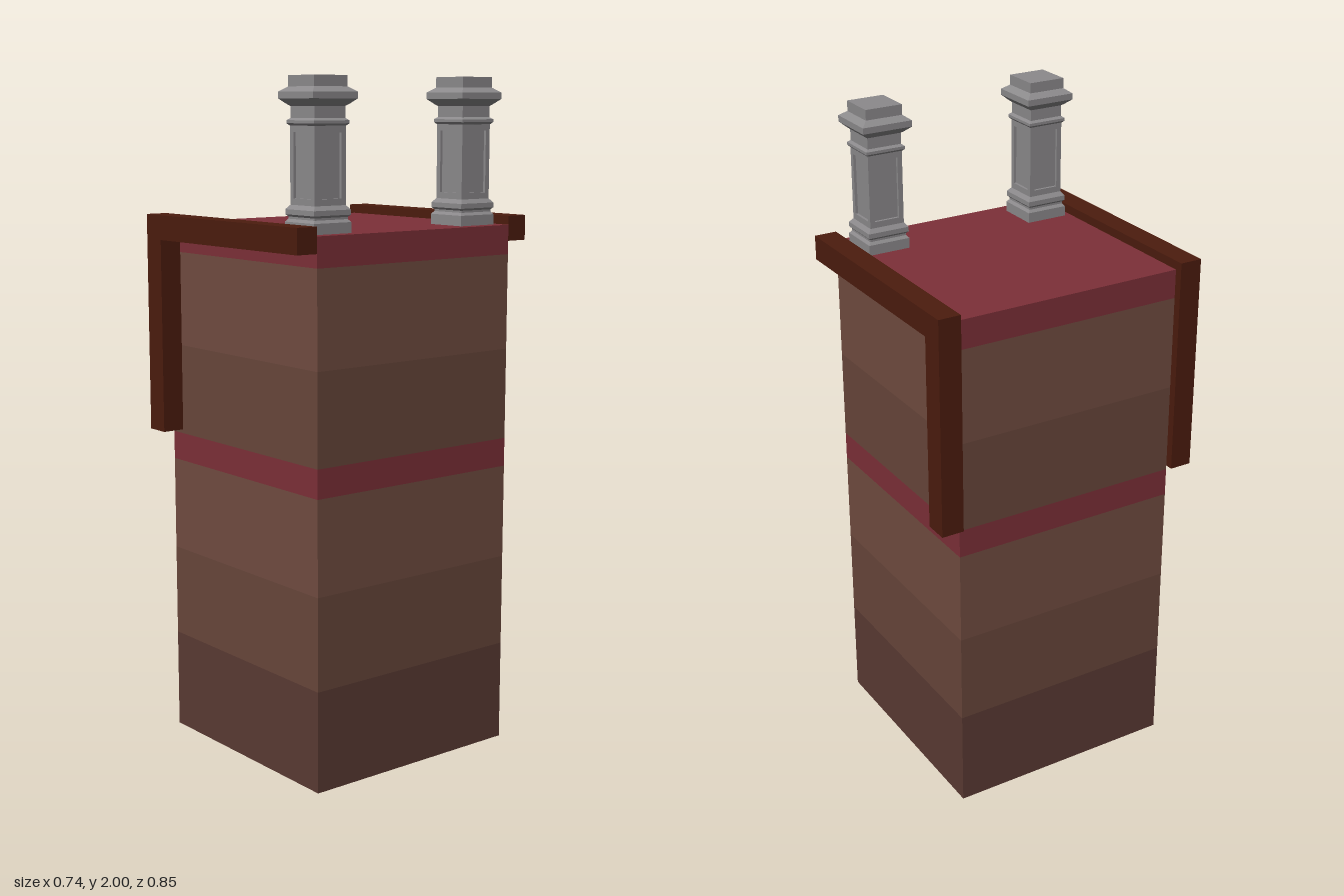
import * as THREE from 'three';

const mat = (color) => new THREE.MeshStandardMaterial({ color, flatShading: true });
const BODY = 0.711, CX = 0.0115, CZ = -0.0015;

function add(parent, name, geometry, material, x = 0, y = 0, z = 0) {
  const mesh = new THREE.Mesh(geometry, material);
  mesh.name = name;
  mesh.position.set(x, y, z);
  parent.add(mesh);
  return mesh;
}

// Square lathe: profile given as [half width, height], bottom to top
function squareLathe(profile) {
  const points = profile.map(([w, y]) => new THREE.Vector2(w * Math.SQRT2, y));
  return new THREE.LatheGeometry(points, 4, Math.PI / 4);
}

function rect(target, x0, y0, x1, y1) {
  target.moveTo(x0, y0);
  target.lineTo(x1, y0);
  target.lineTo(x1, y1);
  target.lineTo(x0, y1);
  target.closePath();
  return target;
}

function createChimney(stone) {
  const chimney = new THREE.Group();
  chimney.name = 'chimney';

  // Foot mouldings, shaft core, collar and flared cap
  add(chimney, 'chimneyStack', squareLathe([
    [0, 0], [0.065, 0], [0.065, 0.03], [0.058, 0.038], [0.058, 0.044],
    [0.064, 0.05], [0.064, 0.064], [0.054, 0.076], [0.046, 0.078], [0.046, 0.288],
    [0.055, 0.29], [0.061, 0.296], [0.061, 0.304], [0.053, 0.31], [0.053, 0.342],
    [0.06, 0.347], [0.077, 0.362], [0.077, 0.38], [0.06, 0.392],
    [0.057, 0.394], [0.057, 0.424], [0, 0.424],
  ]), stone);

  // Raised frame around a sunken panel on each face
  const shape = rect(new THREE.Shape(), -0.054, 0.074, 0.054, 0.292);
  shape.holes.push(rect(new THREE.Path(), -0.039, 0.094, 0.039, 0.272));
  const frame = new THREE.ExtrudeGeometry(shape, { depth: 0.008, bevelEnabled: false });
  frame.translate(0, 0, 0.046);
  for (let i = 0; i < 4; i++) {
    add(chimney, 'panelFrame', frame, stone).rotation.y = i * Math.PI / 2;
  }
  return chimney;
}

export function createModel() {
  const model = new THREE.Group();
  model.name = 'tower';
  const dark = mat(0x5a3a33), mid = mat(0x68463b), light = mat(0x714c40);
  const red = mat(0x7d3038), wood = mat(0x4c1c0e), stone = mat(0x8c8a8c);

  // Wall bands, from the ground up
  const bands = [
    ['lowerWall', 0, 0.3, dark], ['lowerWall', 0.3, 0.575, mid], ['lowerWall', 0.575, 0.855, light],
    ['redBand', 0.855, 0.94, red], ['upperWall', 0.94, 1.21, mid],
    ['upperWall', 1.21, 1.49, light], ['roofEdge', 1.49, 1.576, red],
  ];
  for (const [name, y0, y1, material] of bands) {
    add(model, name, squareLathe([[BODY / 2, y0], [BODY / 2, y1]]), material, CX, 0, CZ);
  }

  // Flat roof and underside
  const slab = new THREE.PlaneGeometry(BODY, BODY);
  add(model, 'roof', slab, red, CX, 1.576, CZ).rotation.x = -Math.PI / 2;
  add(model, 'underside', slab, dark, CX, 0, CZ).rotation.x = Math.PI / 2;

  // Timber beams with a hanging post, on front and back
  const outline = new THREE.Shape([
    [-0.368, 0.952], [-0.295, 0.952], [-0.295, 1.529], [0.367, 1.529], [0.367, 1.602], [-0.368, 1.602],
  ].map(([x, y]) => new THREE.Vector2(x, y)));
  const beam = new THREE.ExtrudeGeometry(outline, { depth: 0.068, bevelEnabled: false });
  add(model, 'frontBeam', beam, wood, 0, 0, 0.354);
  add(model, 'backBeam', beam, wood, 0, 0, -0.425);

  // Chimneys along the left edge
  for (const z of [0.27, -0.268]) {
    const chimney = createChimney(stone);
    chimney.position.set(0.264, 1.576, z);
    model.add(chimney);
  }
  return model;
}
